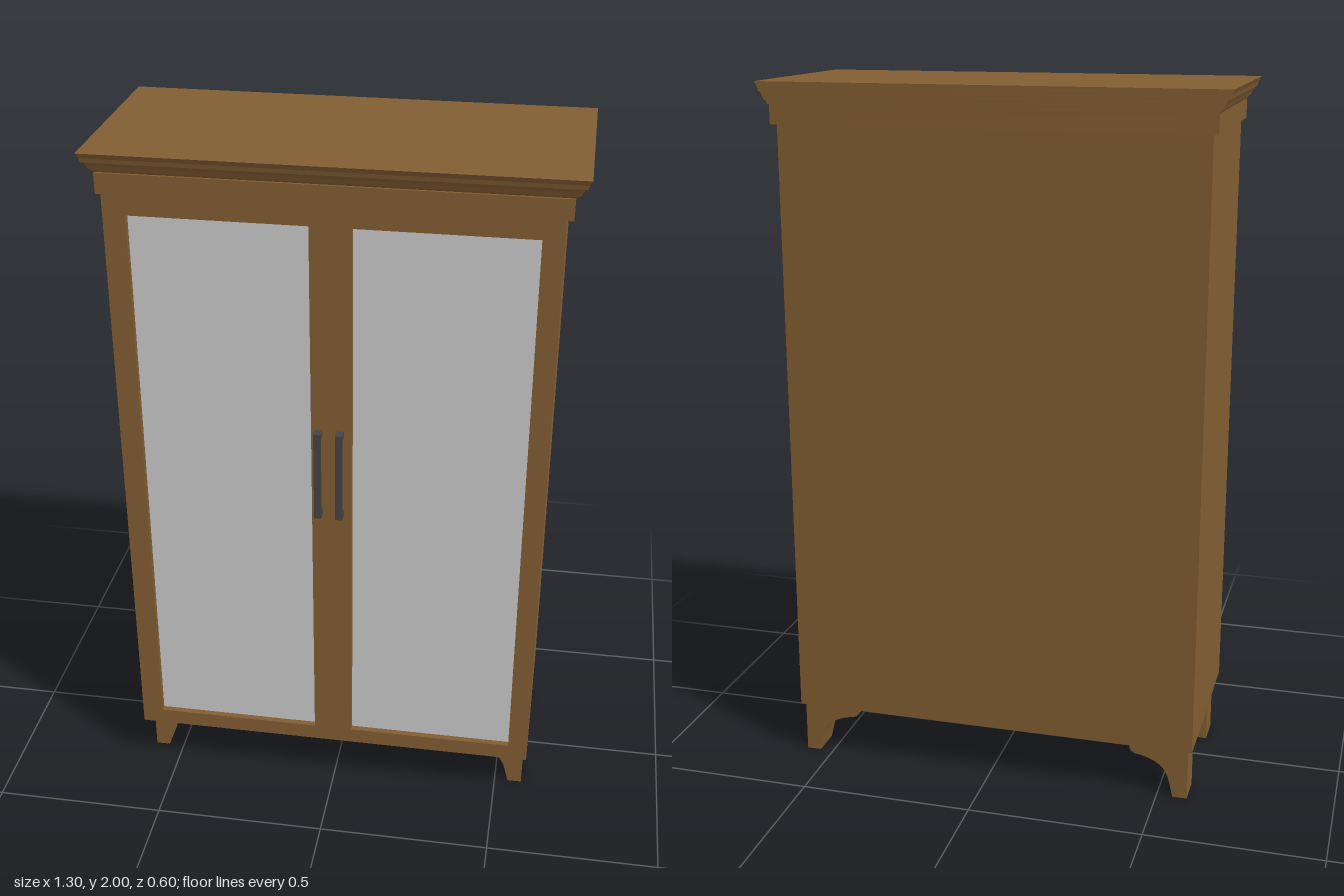
import * as THREE from 'three';

const wood = new THREE.MeshStandardMaterial({ color: 0x835e33, flatShading: true });
const glass = new THREE.MeshStandardMaterial({ color: 0xcccccc });
const metal = new THREE.MeshStandardMaterial({ color: 0x444444 });

function add(parent, name, geometry, material) {
  const mesh = new THREE.Mesh(geometry, material);
  mesh.name = name;
  parent.add(mesh);
  return mesh;
}

// Box given by its lower and upper limits on each axis
function box(parent, name, [x0, x1], [y0, y1], [z0, z1], material = wood) {
  const mesh = add(parent, name, new THREE.BoxGeometry(x1 - x0, y1 - y0, z1 - z0), material);
  mesh.position.set((x0 + x1) / 2, (y0 + y1) / 2, (z0 + z1) / 2);
  return mesh;
}

function rectangle(Type, x0, x1, y0, y1) {
  const p = new Type();
  p.moveTo(x0, y0);
  p.lineTo(x1, y0);
  p.lineTo(x1, y1);
  p.lineTo(x0, y1);
  p.closePath();
  return p;
}

// Moulding stepping outward at the front and sides, straight at the back
function corniceGeometry() {
  const profile = [[0, 1.94], [0.006, 1.95], [0.01, 1.95], [0.015, 1.962],
    [0.022, 1.974], [0.026, 1.974], [0.029, 1.986], [0.036, 2]];
  const positions = [], index = [];
  for (const [d, y] of profile) {
    const x = 0.614 + d, front = 0.262 + d, back = -0.297;
    positions.push(-x, y, front, x, y, front, x, y, back, -x, y, back);
  }
  for (let i = 0; i < profile.length - 1; i++) {
    for (let j = 0; j < 4; j++) {
      const a = i * 4 + j, b = i * 4 + (j + 1) % 4;
      index.push(a, b, b + 4, a, b + 4, a + 4);
    }
  }
  const t = (profile.length - 1) * 4;
  index.push(0, 2, 1, 0, 3, 2, t, t + 1, t + 2, t, t + 2, t + 3);
  const g = new THREE.BufferGeometry();
  g.setAttribute('position', new THREE.Float32BufferAttribute(positions, 3));
  g.setIndex(index);
  const flat = g.toNonIndexed();
  flat.computeVertexNormals();
  return flat;
}

// Bracket foot, drawn with its outer edge at +x
function footGeometry() {
  const s = new THREE.Shape();
  s.moveTo(0.585, 0);
  s.lineTo(0.585, 0.152);
  s.lineTo(0.415, 0.152);
  s.lineTo(0.415, 0.138);
  s.quadraticCurveTo(0.42, 0.122, 0.445, 0.121);
  s.bezierCurveTo(0.49, 0.11, 0.522, 0.095, 0.532, 0.045);
  s.lineTo(0.543, 0);
  s.closePath();
  const g = new THREE.ExtrudeGeometry(s, { depth: 0.09, bevelEnabled: false, curveSegments: 8 });
  return g.translate(0, 0, -0.045);
}

export function createModel() {
  const model = new THREE.Group();
  model.name = 'cabinet';
  const lower = new THREE.Group();
  lower.name = 'cabinetBody';
  lower.position.x = -0.003;
  model.add(lower);

  // Carcass and front frame with two openings
  box(lower, 'carcass', [-0.597, 0.597], [0.152, 1.94], [-0.285, 0.245]);
  const frame = rectangle(THREE.Shape, -0.597, 0.597, 0.152, 1.94);
  for (const [x0, x1] of [[-0.535, -0.053], [0.06, 0.54]]) {
    frame.holes.push(rectangle(THREE.Path, x0, x1, 0.2, 1.83));
    box(lower, 'glassPanel', [x0, x1], [0.2, 1.83], [0.24, 0.25], glass);
  }
  const frameMesh = add(lower, 'doorFrame',
    new THREE.ExtrudeGeometry(frame, { depth: 0.023, bevelEnabled: false }), wood);
  frameMesh.position.z = 0.245;

  // Frieze and cornice
  box(model, 'frieze', [-0.614, 0.612], [1.885, 1.942], [-0.291, 0.27]);
  add(model, 'cornice', corniceGeometry(), wood);

  // Four feet, each pair turned to face inward
  const foot = footGeometry();
  for (const z of [0.15, -0.23]) {
    for (const turn of [0, Math.PI]) {
      const mesh = add(lower, 'foot', foot, wood);
      mesh.position.z = z;
      mesh.rotation.y = turn;
    }
  }

  // Bar handles on two short posts
  for (const x of [-0.035, 0.025]) {
    const handle = new THREE.Group();
    handle.name = 'handle';
    handle.position.x = x;
    model.add(handle);
    box(handle, 'handleBar', [-0.01, 0.01], [0.972, 1.24], [0.288, 0.297], metal);
    for (const y of [0.972, 1.222]) {
      box(handle, 'handlePost', [-0.01, 0.01], [y, y + 0.018], [0.265, 0.29], metal);
    }
  }
  return model;
}
